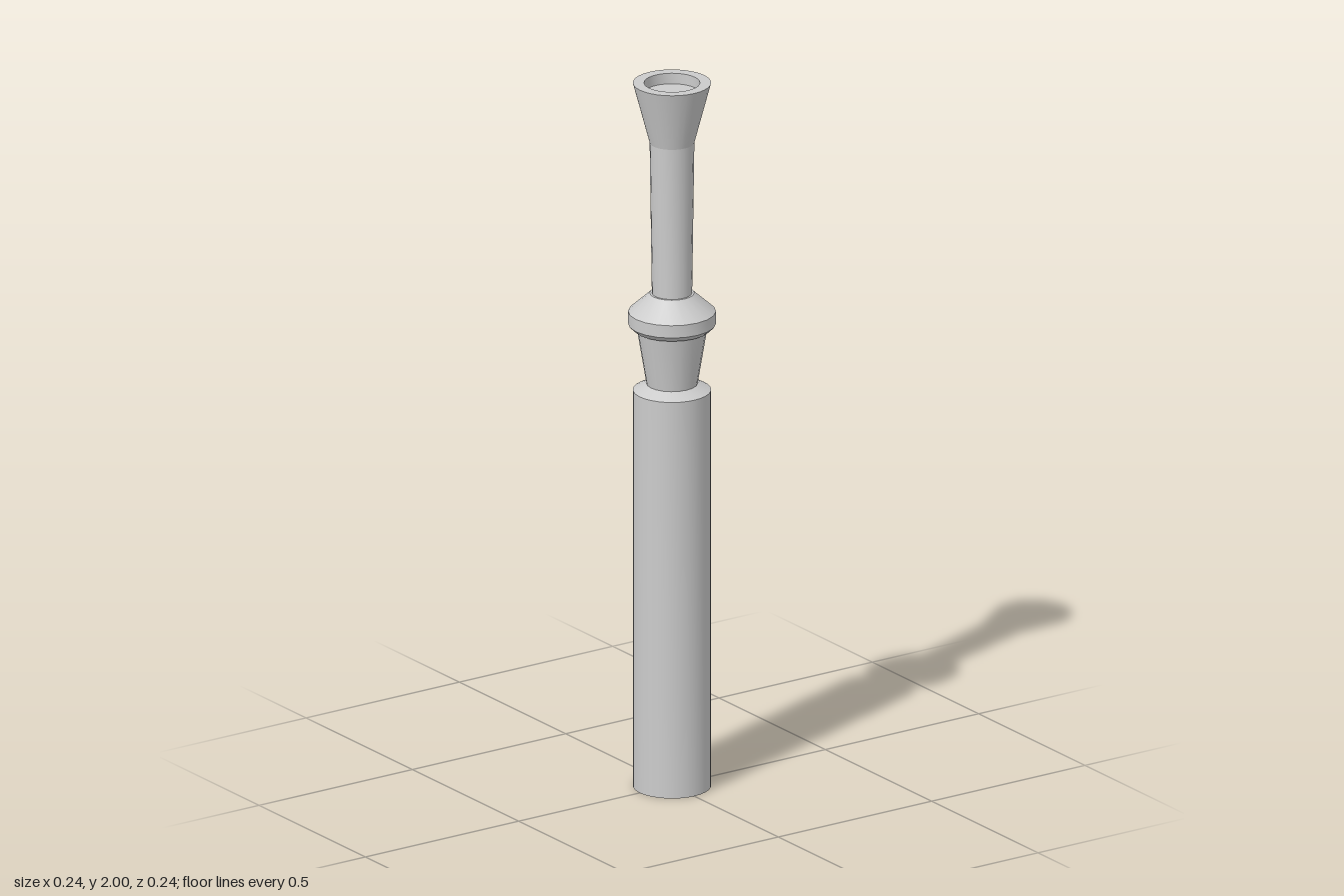
import * as THREE from 'three';
import { toCreasedNormals } from 'three/addons/utils/BufferGeometryUtils.js';

const material = new THREE.MeshStandardMaterial({ color: 0xcccccc });

// Turned part from [radius, height] pairs listed bottom to top
function turned(name, profile, sides) {
  const points = profile.map(([r, y]) => new THREE.Vector2(r, y));
  const geometry = toCreasedNormals(new THREE.LatheGeometry(points, sides), 0.45);
  const mesh = new THREE.Mesh(geometry, material);
  mesh.name = name;
  return mesh;
}

export function createModel() {
  const group = new THREE.Group();
  group.name = 'turnedRod';

  group.add(
    // Long grip with a gently sloped shoulder
    turned('grip', [[0, 0], [0.105, 0], [0.105, 1.127], [0.068, 1.145], [0, 1.145]], 32),
    // Neck widening up towards the collar
    turned('neck', [[0, 1.14], [0.068, 1.14], [0.095, 1.303], [0, 1.303]], 20),
    // Collar with bevelled underside and sloped top
    turned('collar', [[0, 1.3], [0.103, 1.3], [0.118, 1.315], [0.118, 1.35], [0.06, 1.402], [0, 1.402]], 20),
    // Slim shaft, slightly tapered
    turned('shaft', [[0.054, 1.4], [0.06, 1.83]], 20),
    // Flared mouth with a shallow round recess
    turned('flaredMouth', [[0.06, 1.83], [0.105, 2], [0.075, 2], [0.075, 1.97], [0, 1.97]], 32),
  );
  return group;
}
